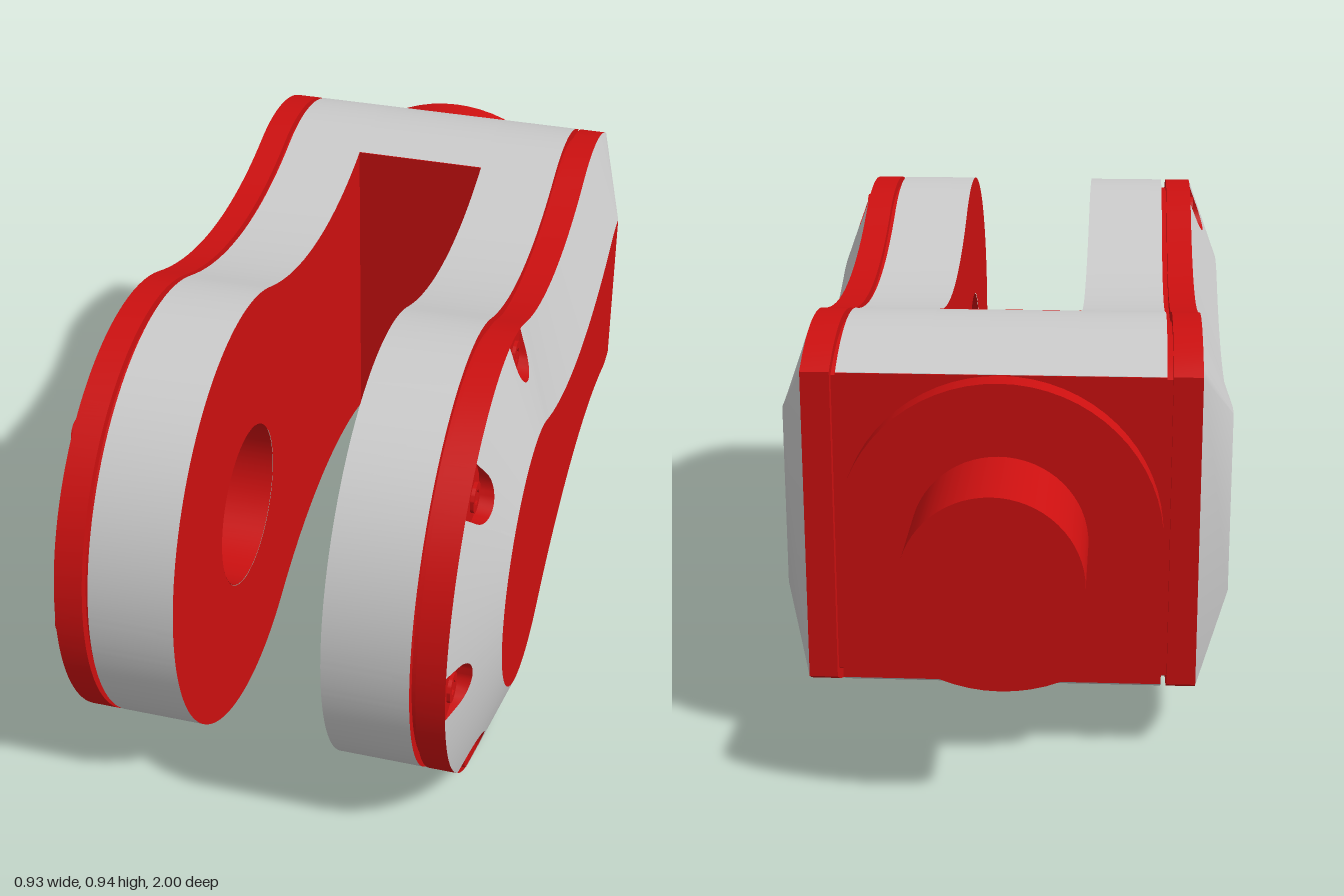
import * as THREE from 'three';
import { toCreasedNormals } from 'three/addons/utils/BufferGeometryUtils.js';

const RAD = Math.PI / 180;
const grey = new THREE.MeshStandardMaterial({ color: 0xcccccc });
const red = new THREE.MeshStandardMaterial({ color: 0xcc1010 });
const redThin = new THREE.MeshStandardMaterial({ color: 0xcc1010, side: THREE.DoubleSide });

const MID = 0.47, BACK = -0.71, HEAD_Z = 0.53, HEAD_R = 0.47;
const RIM_X = 0.393, FACE_X = 0.463, BEVEL = 0.19;
const SCREW_R = 0.43, NOTCH_R = 0.05, SCREW_ANGLES = [0, 51.5, 102];

// Each column of the outline gives a [z, y] point for any inward offset d;
// start is the offset at which the bevel begins (non-zero inside a screw notch).
const head = (deg, start = 0) => ({
  start,
  at: d => [HEAD_Z + (HEAD_R - d) * Math.cos(deg * RAD), (HEAD_R - d) * Math.sin(deg * RAD)],
});
const waist = deg => ({
  start: 0,
  at: d => [-0.1 + (1.0175 + d) * Math.cos(deg * RAD), 1.3475 + (1.0175 + d) * Math.sin(deg * RAD)],
});
const tail = t => ({
  start: 0,
  at: d => {
    const r = 0.414 - d, end = Math.acos((BACK + d + 0.493) / r);
    const a = THREE.MathUtils.lerp(74.06 * RAD, end, t);
    return [-0.493 + r * Math.cos(a), -0.029 + r * Math.sin(a)];
  },
});
const mirrored = c => ({ start: c.start, at: d => [c.at(d)[0], -c.at(d)[1]] });

function buildColumns() {
  const up = [];
  const w = Math.asin(NOTCH_R / SCREW_R) / RAD;
  const fill = (a, b) => {
    const n = Math.ceil((b - a) / 3);
    for (let i = 0; i <= n; i++) up.push(head(a + (b - a) * i / n));
  };
  let prev = 0;
  for (const c of SCREW_ANGLES) {
    if (c > 0) fill(prev, c - w);
    for (let j = c > 0 ? -8 : 0; j <= 8; j++) {
      const f = w * Math.sin(j / 8 * Math.PI / 2);
      const s = SCREW_R * Math.sin(f * RAD);
      const rho = SCREW_R * Math.cos(f * RAD) - Math.sqrt(Math.max(0, NOTCH_R ** 2 - s * s));
      up.push(head(c + f, HEAD_R - rho));
    }
    prev = c + w;
  }
  fill(prev, 115.06);
  for (let i = 1; i < 20; i++) up.push(waist(-64.94 - 41 * i / 20));
  const tails = [];
  for (let i = 0; i <= 14; i++) tails.push(tail(i / 14));
  up.push(...tails);
  const close = list => list.concat(list.slice(1).reverse().map(mirrored));
  return { all: close(up), tail: tails.concat(tails.slice().reverse().map(mirrored)) };
}
const columns = buildColumns();

// Outline as a shape; shape x runs along -z so that extrusion goes along +x
function outline(cols, d) {
  const pts = [];
  for (const c of cols) {
    const [z, y] = c.at(d), p = new THREE.Vector2(-z, y);
    if (!pts.length || p.distanceTo(pts[pts.length - 1]) > 1e-5) pts.push(p);
  }
  return new THREE.Shape(pts);
}

function add(parent, name, geo, mat) {
  const mesh = new THREE.Mesh(geo, mat);
  mesh.name = name;
  parent.add(mesh);
  return mesh;
}

function slab(shape, x0, x1) {
  const geo = new THREE.ExtrudeGeometry(shape, { depth: x1 - x0, bevelEnabled: false, curveSegments: 32 });
  geo.rotateY(Math.PI / 2).translate(x0, 0, 0);
  return toCreasedNormals(geo, 0.5);
}

// Sloped border of the cover, or the upright walls of its screw notches
function coverStrip(walls) {
  const cols = columns.all, v = [];
  const vert = (c, d, x) => { const [z, y] = c.at(d); return [x, y, z]; };
  const slopeX = d => RIM_X + (FACE_X - RIM_X) * d / BEVEL;
  cols.forEach((a, i) => {
    const b = cols[(i + 1) % cols.length];
    if (walls && !a.start && !b.start) return;
    const [a0, b0] = [a, b].map(c => vert(c, c.start, walls ? RIM_X : slopeX(c.start)));
    const [a1, b1] = [a, b].map(c => walls ? vert(c, c.start, slopeX(c.start)) : vert(c, BEVEL, FACE_X));
    v.push(...a0, ...a1, ...b0, ...b0, ...a1, ...b1);
  });
  const geo = new THREE.BufferGeometry();
  geo.setAttribute('position', new THREE.Float32BufferAttribute(v, 3));
  return toCreasedNormals(geo, 0.5);
}

// One side of the fork with its cover, built on +x
function buildSide(name) {
  const side = new THREE.Group();
  side.name = name;
  const prong = outline(columns.all, 0);
  prong.holes.push(new THREE.Path().absarc(-HEAD_Z, 0, 0.175, 0, Math.PI * 2, true));
  add(side, 'prong', slab(prong, 0.148, 0.323), [red, grey]);
  const bore = new THREE.CylinderGeometry(0.174, 0.174, 0.174, 48, 1, true);
  add(side, 'pinBore', bore.rotateZ(Math.PI / 2).translate(0.2355, 0, HEAD_Z), redThin);
  add(side, 'grooveSpacer', slab(outline(columns.all, 0.02), 0.323, 0.335), red);
  add(side, 'coverBase', slab(outline(columns.all, 0), 0.335, RIM_X), red);
  add(side, 'coverBevel', coverStrip(false), grey);
  add(side, 'screwNotchWalls', coverStrip(true), redThin);
  const face = new THREE.ShapeGeometry(outline(columns.all, BEVEL));
  add(side, 'coverPanel', face.rotateY(Math.PI / 2).translate(FACE_X, 0, 0), red);

  // Socket screws in the notches
  for (const a of [...SCREW_ANGLES, ...SCREW_ANGLES.slice(1).map(s => -s)]) {
    const screw = new THREE.Shape().absarc(0, 0, 0.03, 0, Math.PI * 2, false);
    const hex = [];
    for (let i = 0; i < 6; i++) hex.push(new THREE.Vector2(0.016 * Math.cos(i * Math.PI / 3), 0.016 * Math.sin(i * Math.PI / 3)));
    screw.holes.push(new THREE.Path(hex));
    add(side, 'screw', slab(screw, 0, 0.007), red)
      .position.set(RIM_X, SCREW_R * Math.sin(a * RAD), HEAD_Z + SCREW_R * Math.cos(a * RAD));
  }
  return side;
}

export function createModel() {
  const model = new THREE.Group();
  model.name = 'forkJoint';
  const body = new THREE.Group();
  body.name = 'body';
  body.position.y = MID;
  model.add(body);

  // The outline is symmetric, so a half turn gives the other side
  body.add(buildSide('leftSide'));
  const right = buildSide('rightSide');
  right.rotation.z = Math.PI;
  body.add(right);

  // Bridge joining the prongs, with red inner and rear faces
  add(body, 'bridge', slab(outline(columns.tail, 0), -0.148, 0.148), grey);
  add(body, 'bridgeInnerFace', new THREE.BoxGeometry(0.296, 0.738, 0.004).translate(0, 0, -0.379), red);
  add(body, 'rearFace', new THREE.BoxGeometry(0.646, 0.646, 0.004).translate(0, 0, BACK), red);

  // Rear flange and shaft
  const round = (r, z0, z1) => new THREE.CylinderGeometry(r, r, z0 - z1, 64)
    .rotateX(Math.PI / 2).translate(0, 0, (z0 + z1) / 2);
  add(body, 'flange', round(0.322, BACK, -0.766), red);
  add(body, 'shaft', round(0.175, -0.766, -1), red);
  return model;
}
